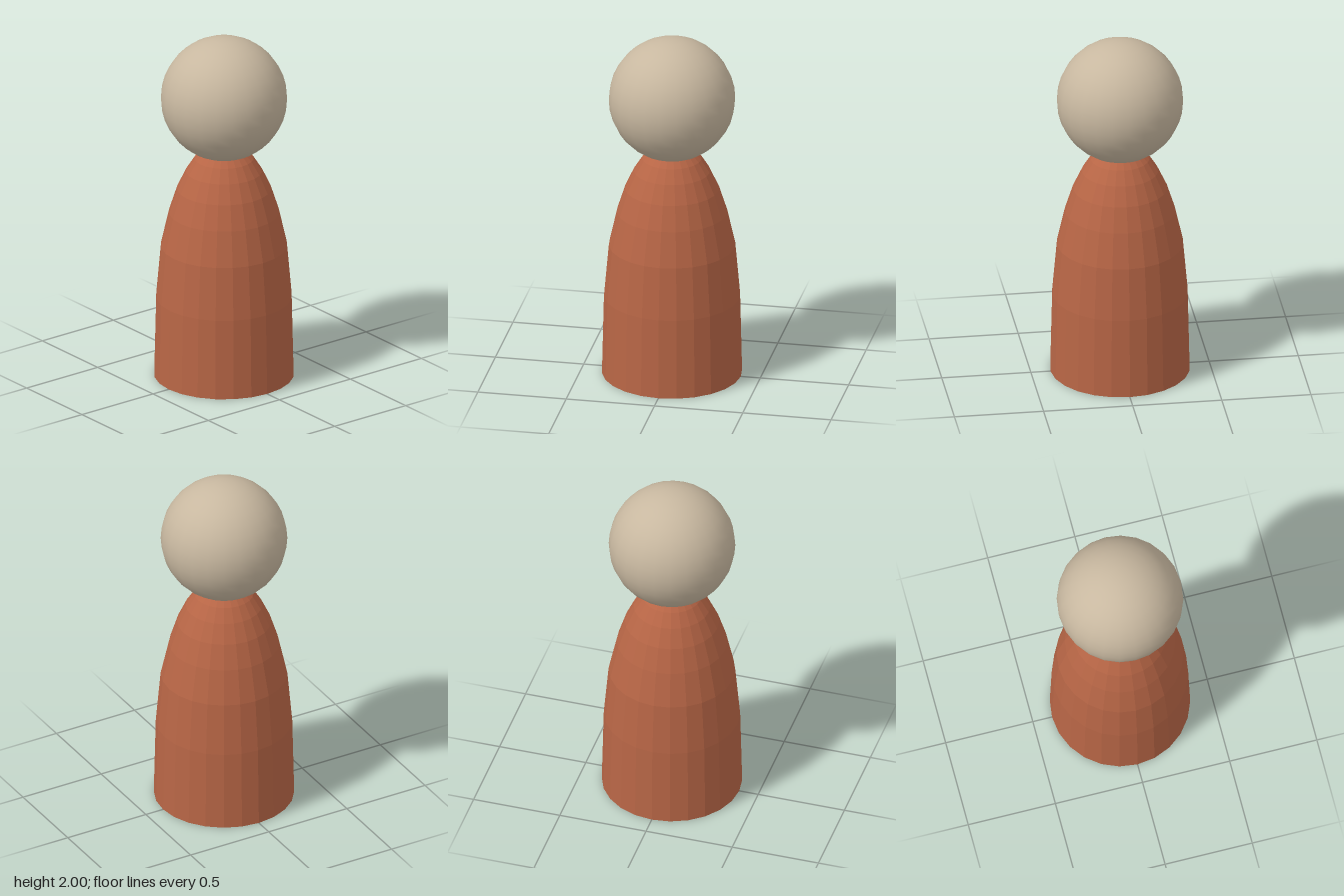
import * as THREE from 'three';

const SIDES = 24;

export function createModel() {
  const group = new THREE.Group();

  // Body: faceted bell that narrows towards the neck, closed at both ends
  const profile = [
    [0, 0], [0.39, 0], [0.379, 0.465], [0.352, 0.77], [0.307, 0.97], [0.262, 1.11],
    [0.213, 1.215], [0.165, 1.29], [0.11, 1.35], [0, 1.38],
  ].map(([r, y]) => new THREE.Vector2(r, y));
  const body = new THREE.Mesh(
    new THREE.LatheGeometry(profile, SIDES),
    new THREE.MeshStandardMaterial({ color: 0xb86646, flatShading: true }),
  );
  body.name = 'body';
  group.add(body);

  // Head: smooth ball resting on the neck
  const head = new THREE.Mesh(
    new THREE.SphereGeometry(0.352, SIDES, 18),
    new THREE.MeshStandardMaterial({ color: 0xc8b8a0 }),
  );
  head.name = 'head';
  head.position.y = 1.648;
  group.add(head);

  return group;
}
